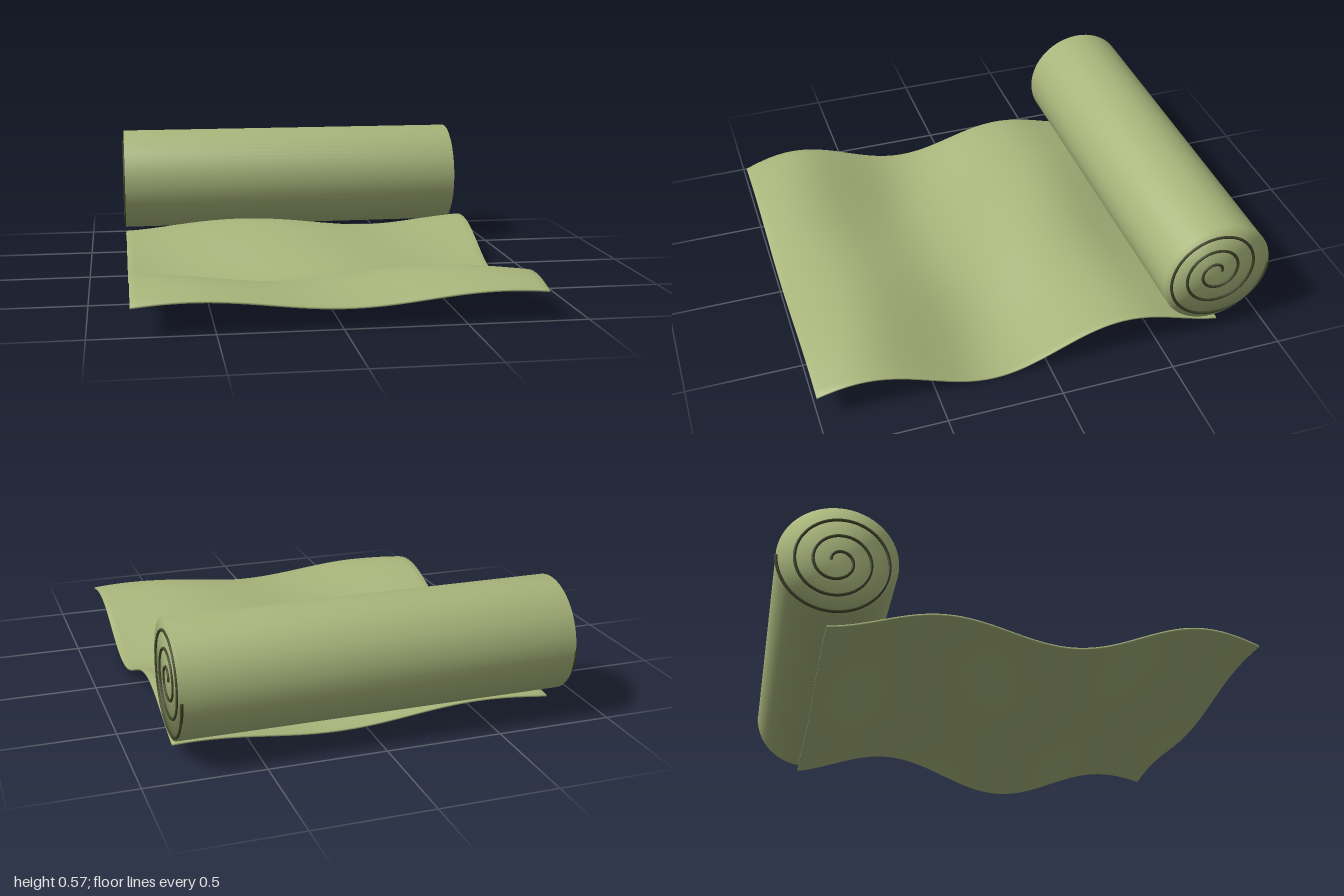
import * as THREE from 'three';
import { mergeVertices } from 'three/addons/utils/BufferGeometryUtils.js';

const WIDTH = 1.66;
const ROLL = { y: 0.33, z: -0.75, radius: 0.245 };

// Weld shared corners so the soft fabric shades smoothly over its edges
function soften(geometry) {
  geometry.deleteAttribute('normal');
  geometry.deleteAttribute('uv');
  const welded = mergeVertices(geometry, 1e-4);
  welded.computeVertexNormals();
  return welded;
}

// Height of the rippled sheet: a main wave along z plus a small diagonal one
function ripple(x, z) {
  const main = 0.0625 * Math.cos((2 * Math.PI * (z - 0.78)) / 1.09);
  const diagonal = 0.0235 * Math.cos(5.03 * (x - 0.65 * z));
  return 0.095 + main + diagonal;
}

// Spiral seam winding outwards over three turns, in the plane of a roll end
class SpiralCurve extends THREE.Curve {
  constructor(x) {
    super();
    this.x = x;
  }
  getPoint(t, target = new THREE.Vector3()) {
    const angle = t * 6 * Math.PI;
    const r = 0.025 + 0.219 * t;
    return target.set(this.x, ROLL.y + r * Math.sin(angle), ROLL.z - r * Math.cos(angle));
  }
}

export function createModel() {
  const group = new THREE.Group();
  group.name = 'rolledMat';

  const fabric = new THREE.MeshStandardMaterial({ color: 0xa9b57b });
  fabric.name = 'sage green fabric';
  const seam = new THREE.MeshStandardMaterial({ color: 0x3f4428 });
  seam.name = 'dark olive seam';

  const add = (name, geometry, material) => {
    const mesh = new THREE.Mesh(geometry, material);
    mesh.name = name;
    group.add(mesh);
  };

  // Unrolled sheet
  const sheet = new THREE.BoxGeometry(WIDTH, 0.008, 1.78, 50, 1, 60);
  sheet.translate(0, 0, 0.11);
  const p = sheet.attributes.position;
  for (let i = 0; i < p.count; i++) {
    p.setY(i, p.getY(i) + ripple(p.getX(i), p.getZ(i)));
  }
  add('sheet', soften(sheet), fabric);

  // Rolled end
  const roll = new THREE.CylinderGeometry(ROLL.radius, ROLL.radius, WIDTH, 64);
  roll.rotateZ(Math.PI / 2);
  roll.translate(0, ROLL.y, ROLL.z);
  add('roll', soften(roll), fabric);

  // Spiral seams on both ends of the roll
  for (const side of [1, -1]) {
    const curve = new SpiralCurve(side * (WIDTH / 2 + 0.001));
    const tube = new THREE.TubeGeometry(curve, 180, 0.0065, 8, false);
    add(side > 0 ? 'leftSpiral' : 'rightSpiral', tube, seam);
  }

  return group;
}
